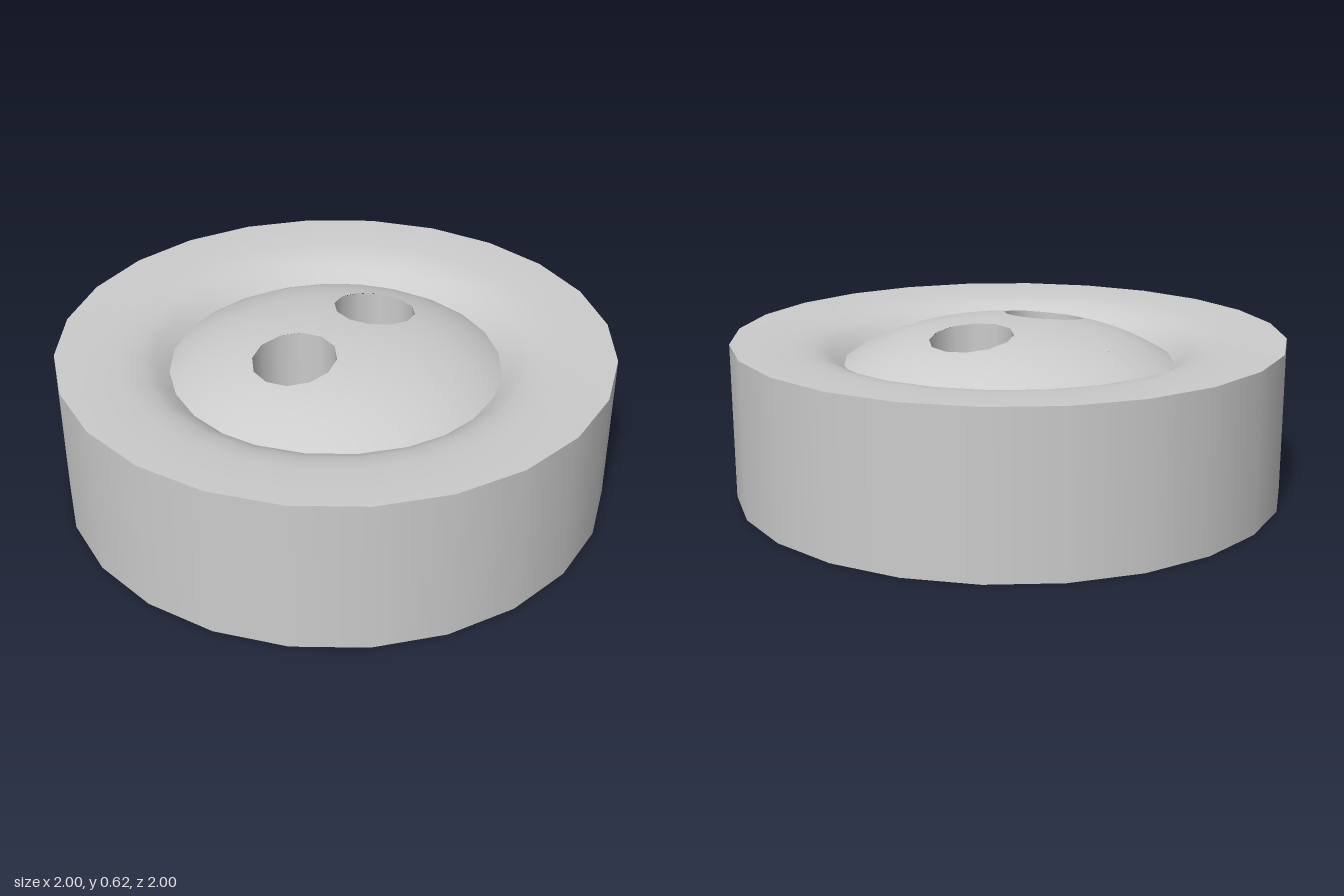
import * as THREE from 'three';

const SIDES = 24, HOLE_SIDES = 12;
const HOLE_X = 0.23, HOLE_R = 0.15, DOME_R = 0.6, TOP = 0.565;

// ratio of a regular polygon's edge distance to its corner radius at angle a
function polygonFactor(a, sides) {
  const step = (2 * Math.PI) / sides;
  const off = a - Math.round(a / step) * step;
  return Math.cos(step / 2) / Math.cos(step / 2 - Math.abs(off));
}

// height and slope of the domed centre
const domeY = (r) => 0.615 - 0.245 * r * r - 0.424 * r ** 4;
const domeSlope = (r) => 0.49 * r + 1.696 * r ** 3;
const domeHeightAt = (x, z) => domeY(Math.hypot(x, z) / polygonFactor(Math.atan2(z, x), SIDES));

// half of the dome, fanned out in rings around its hole
function halfDome() {
  const edge = [];
  for (let i = -6; i <= 6; i++) {
    const a = (i * 2 * Math.PI) / SIDES;
    edge.push([DOME_R * Math.cos(a), DOME_R * Math.sin(a)]);
  }
  const aims = edge.map(([x, z]) => Math.atan2(z, x - HOLE_X));
  for (let z = -2; z <= 2; z++) aims.push(Math.atan2(z * 0.2, -HOLE_X));
  for (let i = 0; i < HOLE_SIDES; i++) aims.push((i * 2 * Math.PI) / HOLE_SIDES);
  const turn = 2 * Math.PI;
  const angles = [...new Set(aims.map((a) => (((a + 1e-9) % turn + turn) % turn).toFixed(5)))]
    .map(Number).sort((a, b) => a - b);

  const reach = (dx, dz) => {
    let best = Infinity;
    edge.forEach(([x, z], i) => {
      const [x2, z2] = edge[(i + 1) % edge.length];
      const ex = x2 - x, ez = z2 - z;
      const t = ((x - HOLE_X) * ez - z * ex) / (dx * ez - dz * ex);
      if (t > 0 && t < best) best = t;
    });
    return best;
  };

  const rings = 8, pos = [], nor = [], index = [];
  angles.forEach((a, i) => {
    const dx = Math.cos(a), dz = Math.sin(a);
    const inner = HOLE_R * polygonFactor(a, HOLE_SIDES), outer = reach(dx, dz);
    const next = (i + 1) % angles.length;
    for (let j = 0; j <= rings; j++) {
      const t = inner + ((outer - inner) * j) / rings;
      const x = HOLE_X + dx * t, z = dz * t, r = Math.hypot(x, z);
      pos.push(x, domeHeightAt(x, z), z);
      const s = domeSlope(r), k = r > 1e-6 ? s / r : 0, len = Math.hypot(1, s);
      nor.push((x * k) / len, 1 / len, (z * k) / len);
      if (j < rings) {
        const p = i * (rings + 1) + j, q = next * (rings + 1) + j;
        index.push(p, q, p + 1, q, q + 1, p + 1);
      }
    }
  });
  const g = new THREE.BufferGeometry();
  g.setAttribute('position', new THREE.Float32BufferAttribute(pos, 3));
  g.setAttribute('normal', new THREE.Float32BufferAttribute(nor, 3));
  g.setIndex(index);
  return g;
}

// inward-facing wall of one hole, its top following the dome
function holeWall() {
  const g = new THREE.LatheGeometry(
    [new THREE.Vector2(HOLE_R, 0.5), new THREE.Vector2(HOLE_R, 0)], HOLE_SIDES);
  g.translate(HOLE_X, 0, 0);
  const p = g.attributes.position;
  for (let i = 0; i < p.count; i++) {
    if (p.getY(i) > 0.1) p.setY(i, domeHeightAt(p.getX(i), p.getZ(i)));
  }
  return g;
}

// flat underside with both holes
function underside() {
  const ring = (cx, r, n) => Array.from({ length: n }, (_, i) => {
    const a = (i * 2 * Math.PI) / n;
    return new THREE.Vector2(cx + r * Math.cos(a), r * Math.sin(a));
  });
  const shape = new THREE.Shape(ring(0, 1, SIDES));
  for (const s of [-1, 1]) shape.holes.push(new THREE.Path(ring(s * HOLE_X, HOLE_R, HOLE_SIDES)));
  return new THREE.ShapeGeometry(shape).rotateX(Math.PI / 2);
}

export function createModel() {
  const group = new THREE.Group();
  group.name = 'button';
  const grey = new THREE.MeshStandardMaterial({ color: 0xcccccc });
  grey.name = 'light grey';

  const add = (name, geometry, turned = false) => {
    const mesh = new THREE.Mesh(geometry, grey);
    mesh.name = name;
    if (turned) mesh.rotation.y = Math.PI;
    group.add(mesh);
  };

  // outer wall
  add('outerWall', new THREE.CylinderGeometry(1, 1, TOP, SIDES, 1, true).translate(0, TOP / 2, 0));

  // rim rolling down into the groove around the dome
  const rim = [[1, TOP], [0.9, 0.563], [0.8, 0.556], [0.75, 0.549], [0.7, 0.537],
    [0.65, 0.515], [DOME_R, domeY(DOME_R)]].map(([r, y]) => new THREE.Vector2(r, y));
  add('rim', new THREE.LatheGeometry(rim, SIDES));

  // domed centre and thread holes, mirrored
  const dome = halfDome(), wall = holeWall();
  add('domeLeft', dome);
  add('domeRight', dome, true);
  add('holeWallLeft', wall);
  add('holeWallRight', wall, true);

  add('underside', underside());
  return group;
}
